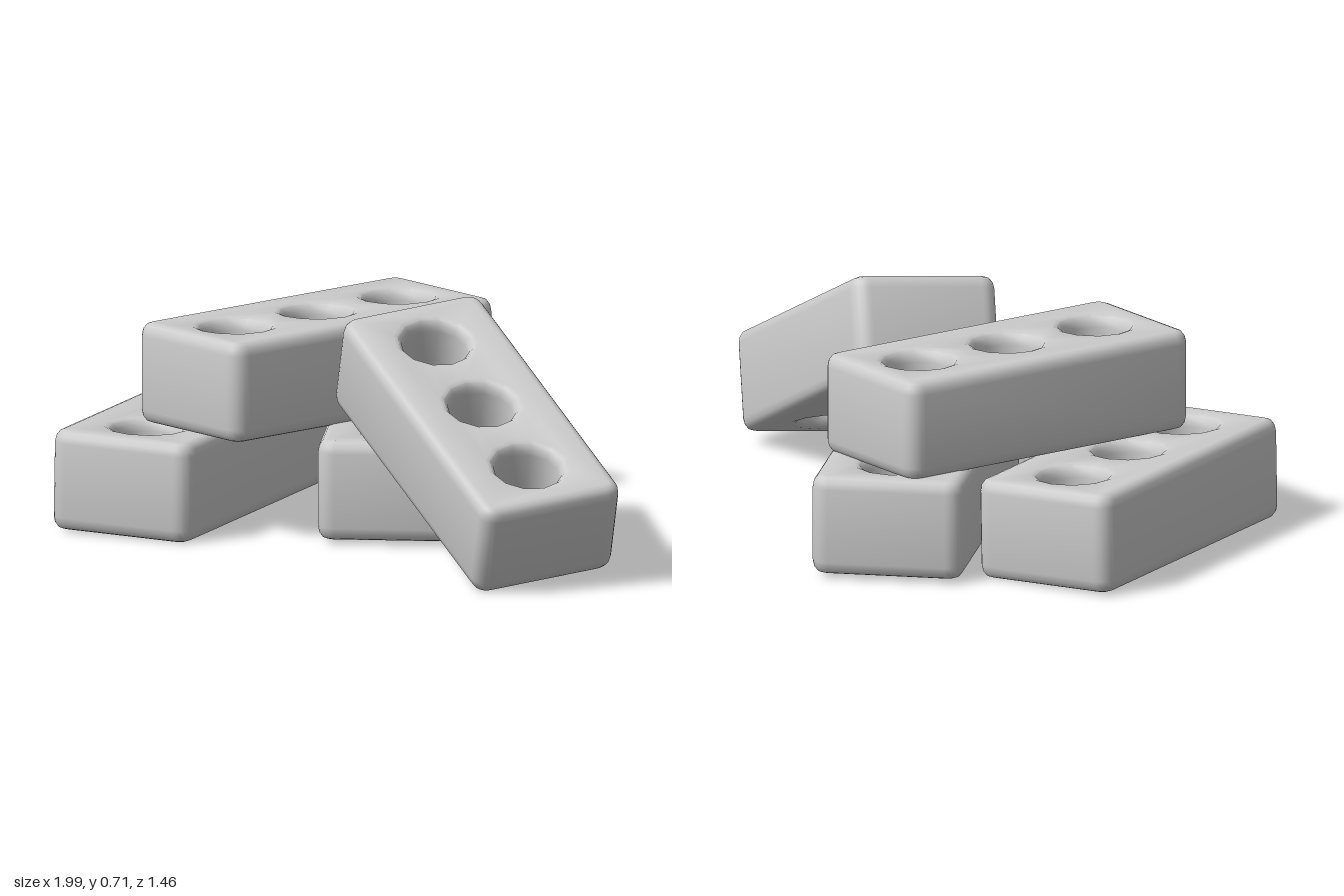
import * as THREE from 'three';
import { toCreasedNormals } from 'three/addons/utils/BufferGeometryUtils.js';

const LENGTH = 1.03, WIDTH = 0.455, HEIGHT = 0.3;
const BEVEL = 0.028, HOLE_RADIUS = 0.1, HOLE_SPACING = 0.322;

// Soft-edged brick, length along x, height along y, with three flared through holes
function brickGeometry() {
  const a = LENGTH / 2 - BEVEL, b = WIDTH / 2 - BEVEL, r = 0.025;
  const shape = new THREE.Shape();
  shape.moveTo(-a + r, -b);
  shape.lineTo(a - r, -b);
  shape.quadraticCurveTo(a, -b, a, -b + r);
  shape.lineTo(a, b - r);
  shape.quadraticCurveTo(a, b, a - r, b);
  shape.lineTo(-a + r, b);
  shape.quadraticCurveTo(-a, b, -a, b - r);
  shape.lineTo(-a, -b + r);
  shape.quadraticCurveTo(-a, -b, -a + r, -b);

  for (let i = -1; i <= 1; i++) {
    const hole = new THREE.Path();
    hole.absarc(i * HOLE_SPACING, 0, HOLE_RADIUS + BEVEL, 0, Math.PI * 2, true);
    shape.holes.push(hole);
  }

  const thickness = 0.038, depth = HEIGHT - 2 * thickness;
  const geometry = new THREE.ExtrudeGeometry(shape, {
    depth, curveSegments: 6, bevelEnabled: true,
    bevelThickness: thickness, bevelSize: BEVEL, bevelSegments: 3,
  });
  geometry.translate(0, 0, -depth / 2);
  geometry.rotateX(-Math.PI / 2);
  return toCreasedNormals(geometry, 0.65);
}

// Each brick: centre, direction of its length, direction of its top
const BRICKS = [
  { name: 'leftLowerBrick', at: [-0.7, 0.163, 0.12], along: [0.16, 0, 0.987], up: [0.02, 1, 0.01] },
  { name: 'backLowerBrick', at: [-0.135, 0.172, -0.185], along: [0.49, 0, 0.87], up: [0, 1, 0] },
  { name: 'upperBrick', at: [-0.36, 0.465, -0.035], along: [-0.25, 0, 0.968], up: [0, 1, 0] },
  { name: 'leaningBrick', at: [0.44, 0.365, 0.295], along: [0.805, -0.41, 0.43], up: [0.32, 0.9, 0.29] },
];

export function createModel() {
  const model = new THREE.Group();
  model.name = 'brickPile';
  const geometry = brickGeometry();
  const material = new THREE.MeshStandardMaterial({ color: 0xcccccc });

  for (const { name, at, along, up } of BRICKS) {
    const x = new THREE.Vector3(...along).normalize();
    const z = new THREE.Vector3().crossVectors(x, new THREE.Vector3(...up)).normalize();
    const y = new THREE.Vector3().crossVectors(z, x);
    const brick = new THREE.Mesh(geometry, material);
    brick.name = name;
    brick.quaternion.setFromRotationMatrix(new THREE.Matrix4().makeBasis(x, y, z));
    brick.position.set(...at);
    model.add(brick);
  }
  return model;
}
